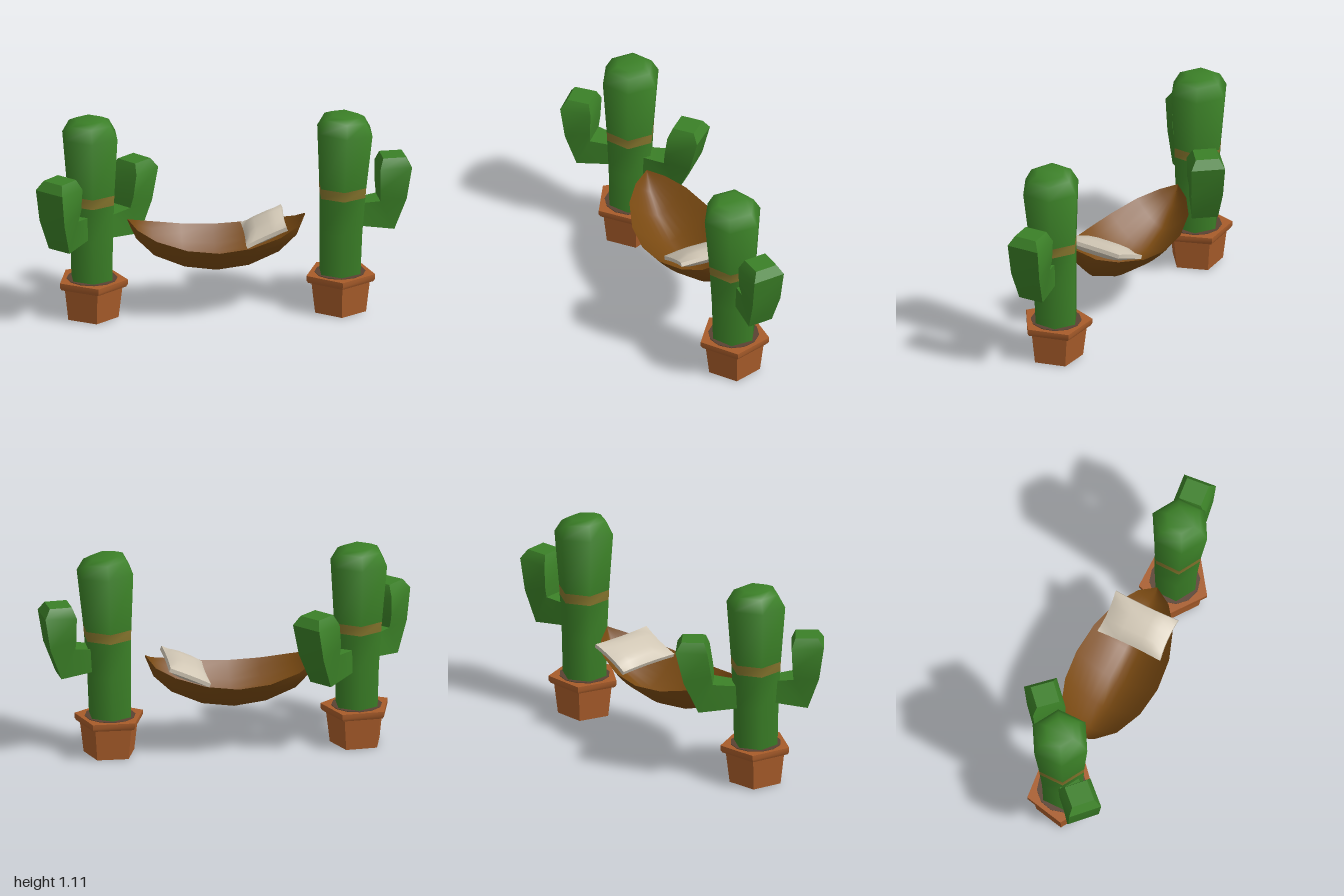
import * as THREE from 'three';
import { toCreasedNormals } from 'three/addons/utils/BufferGeometryUtils.js';

const mat = (name, color, side = THREE.FrontSide) => {
  const m = new THREE.MeshStandardMaterial({ color, side });
  m.name = name;
  return m;
};

// Skin a list of equal-length rings of [x, y, z] points, closing both ends
function loft(rings, crease) {
  const pos = [], n = rings[0].length;
  const tri = (a, b, c) => pos.push(...a, ...b, ...c);
  for (let k = 0; k < rings.length - 1; k++) {
    for (let i = 0; i < n; i++) {
      const j = (i + 1) % n, p = rings[k], q = rings[k + 1];
      tri(p[i], p[j], q[j]);
      tri(p[i], q[j], q[i]);
    }
  }
  const first = rings[0], last = rings[rings.length - 1];
  for (let i = 1; i < n - 1; i++) {
    tri(first[0], first[i + 1], first[i]);
    tri(last[0], last[i], last[i + 1]);
  }
  const g = new THREE.BufferGeometry();
  g.setAttribute('position', new THREE.Float32BufferAttribute(pos, 3));
  return toCreasedNormals(g, crease);
}

// Horizontal polygon ring; slope tips it towards +x
function ring(sides, r, y, cx = 0, cz = 0, slope = 0) {
  return Array.from({ length: sides }, (_, i) => {
    const t = (i / sides) * Math.PI * 2, dx = r * Math.sin(t);
    return [cx + dx, y - slope * dx, cz + r * Math.cos(t)];
  });
}

export function createModel() {
  const green = mat('cactus green', 0x3b8027);
  const ochre = mat('band ochre', 0x84742c);
  const clay = mat('terracotta', 0xa85c2a);
  const earth = mat('soil brown', 0x5a4232);
  const cloth = mat('hammock brown', 0x7a4a12, THREE.DoubleSide);
  const linen = mat('pillow linen', 0xd0c6b4);

  const model = new THREE.Group();
  const add = (parent, name, geometry, material) => {
    const m = new THREE.Mesh(geometry, material);
    m.name = name;
    parent.add(m);
    return m;
  };

  // Square arm that leaves the trunk, turns at an elbow and widens upward
  function arm(parent, angle, dy, lean) {
    // inner u, inner y, outer u, outer y, half width
    const sections = [
      [0.05, 0.61, 0.05, 0.49, 0.05],
      [0.12, 0.61, 0.12, 0.48, 0.055],
      [0.2 + lean * 0.4, 0.62, 0.275 + lean * 0.4, 0.46, 0.07],
      [0.195 + lean * 0.6, 0.68, 0.335 + lean * 0.7, 0.63, 0.085],
      [0.19 + lean, 0.8, 0.36 + lean, 0.805, 0.09],
      [0.21 + lean, 0.855, 0.33 + lean, 0.855, 0.062],
    ];
    const rings = sections.map(([ui, yi, uo, yo, w]) =>
      [[ui, yi + dy, w], [uo, yo + dy, w], [uo, yo + dy, -w], [ui, yi + dy, -w]]);
    add(parent, 'cactusArm', loft(rings, 0.6), green).rotation.y = angle;
  }

  // Potted cactus with a six-sided trunk
  function cactus({ name, x, potTurn, bandY, topX, topZ, slope, arms }) {
    const g = new THREE.Group();
    g.name = name;
    g.position.set(x, 0, 0.01);
    model.add(g);

    const pot = add(g, 'pot', loft([
      ring(5, 0.142, 0.003), ring(5, 0.163, 0.175), ring(5, 0.182, 0.175),
      ring(5, 0.192, 0.19), ring(5, 0.192, 0.215),
    ], 0.6), clay);
    pot.rotation.y = potTurn;
    add(g, 'soil', new THREE.CylinderGeometry(0.135, 0.135, 0.006, 12), earth).position.y = 0.215;

    // Trunk rings bend gradually towards the top offset
    const trunkRing = (y, r, s = 0) => {
      const t = Math.max(0, (y - 0.3) / 0.8);
      return ring(6, r, y, topX * t, topZ * t, s);
    };
    const b0 = bandY, b1 = bandY + 0.055;
    add(g, 'trunkLower', loft([trunkRing(0, 0.1), trunkRing(0.2, 0.12),
      trunkRing(0.45, 0.125), trunkRing(b0, 0.135)], 1.2), green);
    add(g, 'trunkBand', loft([trunkRing(b0, 0.135), trunkRing(b1, 0.138)], 1.2), ochre);
    add(g, 'trunkUpper', loft([trunkRing(b1, 0.138), trunkRing(1.01, 0.162, slope * 0.5),
      trunkRing(1.08, 0.122, slope), trunkRing(1.1, 0.08, slope)], 1.2), green);
    arms.forEach(a => arm(g, ...a));
  }

  cactus({ name: 'rightCactus', x: -0.69, potTurn: 0.1, bandY: 0.64, topX: -0.012, topZ: -0.01,
    slope: 0, arms: [[0.75, -0.055, 0.06], [Math.PI + 0.81, -0.02, 0]] });
  cactus({ name: 'leftCactus', x: 0.625, potTurn: 0, bandY: 0.65, topX: 0.028, topZ: 0.02,
    slope: 0.12, arms: [[0.1, 0, 0.012]] });

  // Hammock: curved sheet; stations hold x, rim height, keel height, half width
  const stations = [
    [-0.5, 0.535, 0.525, 0], [-0.455, 0.5, 0.425, 0.085], [-0.36, 0.462, 0.33, 0.165],
    [-0.2, 0.425, 0.265, 0.222], [-0.03, 0.412, 0.243, 0.24], [0.14, 0.428, 0.265, 0.222],
    [0.3, 0.465, 0.335, 0.165], [0.395, 0.5, 0.425, 0.09], [0.44, 0.545, 0.535, 0],
  ];
  const across = 12;
  const sheet = new THREE.PlaneGeometry(1, 1, across, stations.length - 1);
  stations.forEach(([x, rim, keel, w], k) => {
    for (let i = 0; i <= across; i++) {
      const s = (i / across) * 2 - 1;
      sheet.attributes.position.setXYZ(k * (across + 1) + i,
        x, keel + (rim - keel) * Math.abs(s) ** 1.6, w * s);
    }
  });
  sheet.computeVertexNormals();
  add(model, 'hammock', sheet, cloth);

  // Pillow: box puffed in the middle and pinched at its edges
  const puff = new THREE.BoxGeometry(0.235, 0.085, 0.37, 6, 2, 6);
  const p = puff.attributes.position;
  for (let i = 0; i < p.count; i++) {
    const u = p.getX(i) / 0.1175, v = p.getZ(i) / 0.185;
    p.setY(i, p.getY(i) * (0.25 + 0.75 * (1 - u ** 4) * (1 - v ** 4)));
    p.setX(i, p.getX(i) * (0.95 + 0.05 * v * v));
    p.setZ(i, p.getZ(i) * (0.95 + 0.05 * u * u));
  }
  const pillow = add(model, 'pillow', toCreasedNormals(puff, 0.8), linen);
  pillow.position.set(0.225, 0.472, -0.005);
  pillow.rotation.z = 0.42;

  return model;
}
